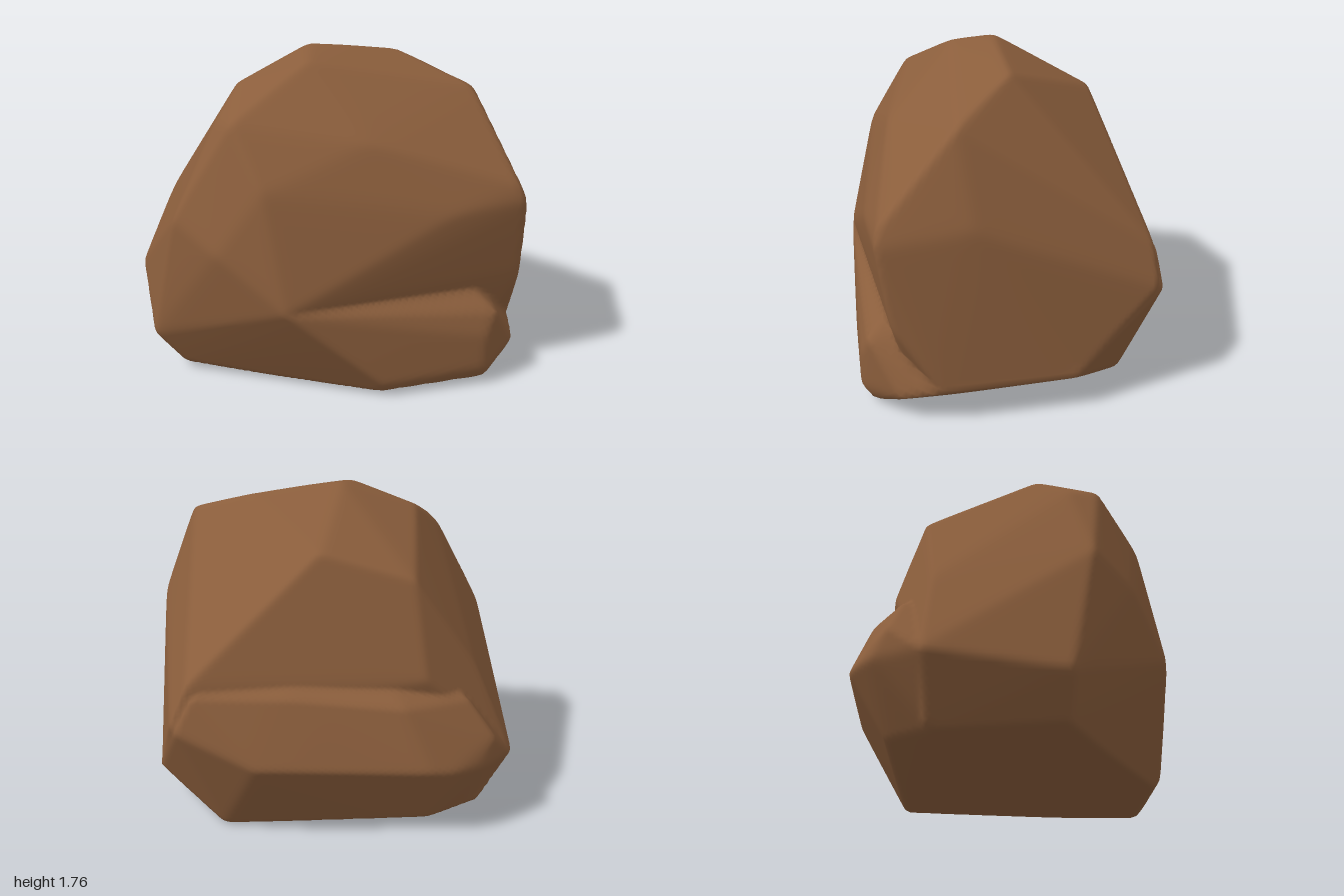
import * as THREE from 'three';
import { mergeVertices } from 'three/addons/utils/BufferGeometryUtils.js';
import { ConvexGeometry } from 'three/addons/geometries/ConvexGeometry.js';

const CENTRE = new THREE.Vector3(0, 0.75, 0);
const SHARPNESS = 190; // higher gives crisper edges between the worn faces

// Corners of the tall upper block
const UPPER = [
  // crown
  [-0.05, 1.765, 0], [0.1, 1.755, 0.02], [0.45, 1.705, 0.03], [-0.12, 1.73, 0.23],
  [0.77, 1.555, 0.37], [0.12, 1.5, -0.485], [-0.38, 1.35, -0.51], [-0.48, 1.605, 0.1],
  [-0.64, 1.45, 0.25], [-0.6, 1.48, 0.42],
  // front face and right shoulder
  [0.08, 1.37, 0.62], [-0.5, 1.17, 0.64], [0.88, 1.11, 0.79], [0.95, 1.07, 0.31],
  [0.91, 1.03, 0.81], [0.5, 1.01, 0.81], [0.92, 0.57, 0.74], [-0.73, 0.83, 0.56],
  [-0.42, 0.55, 0.795],
  // back and left corners
  [0.83, 0.86, -0.655], [0.92, 0.65, -0.67], [-0.9, 0.96, 0.33], [-0.74, 0.84, -0.48],
  [-0.43, 0.85, -0.665], [-1.005, 0.25, 0.2], [-0.935, 0.36, -0.53],
  // buried base
  [1, 0.2, -0.2], [0.99, 0.2, 0.5], [-0.75, 0.03, 0.22], [-0.75, 0.03, -0.5],
  [0.65, 0.03, -0.5], [0.65, 0.03, 0.6],
];

// Corners of the wide foot, with its back ledge and front toe
const FOOT = [
  // left and back
  [-1.005, 0.25, 0.2], [-0.935, 0.36, -0.53], [-0.8, 0.52, -0.69], [-0.72, 0.38, -0.765],
  [-0.55, 0.4, -0.855], [-0.42, 0.42, -0.885], [0.48, 0.45, -0.835], [0.9, 0.62, -0.695],
  [0.8, 0.81, -0.68], [0.3, 0.8, -0.735], [-0.3, 0.74, -0.775], [-0.66, 0.72, -0.62],
  // right side and front toe
  [1.005, 0.2, -0.2], [0.995, 0.2, 0.5], [0.93, 0.15, 0.7],
  [0.68, 0.1, 0.885], [0.68, 0.3, 0.885], [0.75, 0.42, 0.845], [-0.42, 0.55, 0.795],
  [0.1, 0.08, 0.85],
  // underside
  [-0.84, 0.04, 0.2], [-0.75, 0.01, -0.45], [-0.45, 0.05, -0.68], [0.65, 0, -0.55],
  [0.7, 0.02, 0.82], [0.1, 0.02, 0.81], [0.77, 0.03, 0.4], [-0.4, 0.02, 0.48],
  [0, 1.2, 0],
];

// Face planes of the convex block spanned by the corners, as normal / distance
function blockPlanes(corners) {
  const points = corners.map((c) => new THREE.Vector3(...c).sub(CENTRE));
  const pos = new ConvexGeometry(points).getAttribute('position');
  const planes = [];
  const tri = new THREE.Triangle();
  for (let i = 0; i < pos.count; i += 3) {
    tri.setFromAttributeAndIndices(pos, i, i + 1, i + 2);
    if (tri.getArea() < 1e-5) continue;
    const plane = tri.getPlane(new THREE.Plane());
    const scaled = plane.normal.clone().divideScalar(Math.max(1e-3, -plane.constant));
    if (!planes.some((p) => p.distanceTo(scaled) < 0.01)) planes.push(scaled);
  }
  return planes;
}

// Distance from the centre to the block's softly rounded surface
function reach(planes, dir) {
  const dots = planes.map((p) => Math.max(0, p.dot(dir)));
  const top = Math.max(...dots);
  const sum = dots.reduce((s, d) => s + Math.pow(d / top, SHARPNESS), 0);
  return 1 / (top * Math.pow(sum, 1 / SHARPNESS));
}

// A fine ball pushed out to whichever block reaches further
function boulderGeometry() {
  const ball = new THREE.IcosahedronGeometry(1, 50);
  ball.deleteAttribute('normal');
  ball.deleteAttribute('uv');
  const geo = mergeVertices(ball, 1e-5);
  const blocks = [blockPlanes(UPPER), blockPlanes(FOOT)];
  const pos = geo.getAttribute('position');
  const dir = new THREE.Vector3();
  for (let i = 0; i < pos.count; i++) {
    dir.fromBufferAttribute(pos, i).normalize();
    dir.multiplyScalar(Math.max(...blocks.map((b) => reach(b, dir)))).add(CENTRE);
    pos.setXYZ(i, dir.x, dir.y, dir.z);
  }
  geo.computeVertexNormals();
  return geo;
}

export function createModel() {
  const stone = new THREE.MeshStandardMaterial({ color: 0x8b5e3c });
  stone.name = 'brownStone';
  const boulder = new THREE.Mesh(boulderGeometry(), stone);
  boulder.name = 'boulder';
  const group = new THREE.Group();
  group.name = 'rock';
  group.add(boulder);
  return group;
}
